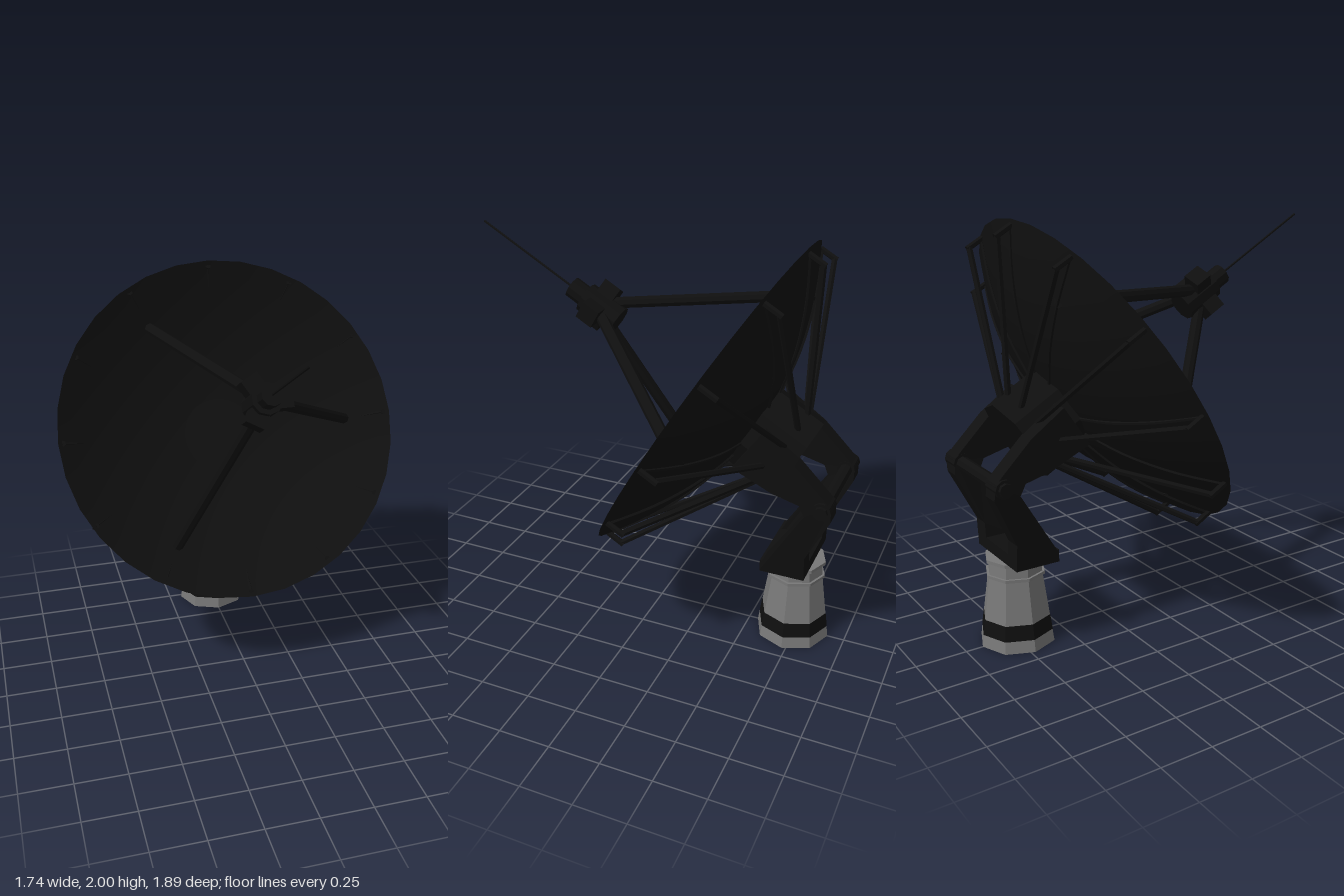
import * as THREE from 'three';

export function createModel() {
  const model = new THREE.Group();
  const paint = (name, color, flat) => {
    const m = new THREE.MeshStandardMaterial({ color });
    m.name = name;
    m.flatShading = flat;
    return m;
  };
  const dark = paint('charcoal', 0x0f0f0f, true);
  const grey = paint('concrete grey', 0x787878, true);
  const shell = dark.clone(); // same charcoal, smooth shaded
  shell.flatShading = false;

  const add = (parent, name, geometry, material = dark) => {
    const mesh = new THREE.Mesh(geometry, material);
    mesh.name = name;
    parent.add(mesh);
    return mesh;
  };
  // straight rod between two points
  const rod = (parent, name, a, b, radius, sides = 8) => {
    const mesh = add(parent, name, new THREE.CylinderGeometry(radius, radius, a.distanceTo(b), sides));
    mesh.position.copy(a).lerp(b, 0.5);
    mesh.quaternion.setFromUnitVectors(new THREE.Vector3(0, 1, 0), b.clone().sub(a).normalize());
    return mesh;
  };

  // Mast: stacked eight-sided rings [name, bottom y, top y, bottom r, top r, colour]
  const mast = new THREE.Group();
  mast.name = 'mast';
  mast.position.z = -0.73;
  model.add(mast);
  [
    ['mastFoot', 0, 0.06, 0.185, 0.177, grey],
    ['mastBand', 0.06, 0.135, 0.178, 0.167, dark],
    ['mastBody', 0.135, 0.345, 0.166, 0.136, grey],
    ['lowerCollar', 0.345, 0.36, 0.146, 0.146, grey],
    ['mastNeck', 0.36, 0.42, 0.134, 0.13, grey],
    ['upperCollar', 0.42, 0.437, 0.146, 0.146, grey],
  ].forEach(([name, y0, y1, r0, r1, mat]) => {
    add(mast, name, new THREE.CylinderGeometry(r1, r0, y1 - y0, 8), mat).position.y = (y0 + y1) / 2;
  });

  // Yoke: base block, two bent arms and the elbow shaft
  const yoke = new THREE.Group();
  yoke.name = 'yoke';
  model.add(yoke);
  add(yoke, 'yokeBase', new THREE.BoxGeometry(0.4, 0.06, 0.22)).position.set(0, 0.467, -0.71);
  const profile = new THREE.Shape([
    [-0.6, 0.44], [-0.82, 0.44], [-0.82, 0.57], [-0.94, 0.82], [-0.937, 0.89], [-0.905, 0.926],
    [-0.756, 1.074], [-0.59, 1.19], [-0.46, 1.0], [-0.656, 0.91], [-0.79, 0.875], [-0.815, 0.82], [-0.6, 0.48],
  ].map(([z, y]) => new THREE.Vector2(-z, y)));
  for (const side of [-1, 1]) {
    const g = new THREE.ExtrudeGeometry(profile, { depth: 0.09, bevelEnabled: false });
    g.translate(0, 0, -0.045).rotateY(Math.PI / 2);
    // lean the lower half inward towards the base
    const p = g.attributes.position;
    for (let i = 0; i < p.count; i++) {
      const lean = THREE.MathUtils.clamp((0.85 - p.getY(i)) / 0.37, 0, 1);
      p.setX(i, p.getX(i) + side * (0.215 - 0.06 * lean));
    }
    g.computeVertexNormals();
    add(yoke, 'yokeArm', g);
    const bearing = add(yoke, 'elbowBearing', new THREE.CylinderGeometry(0.045, 0.045, 0.105, 10));
    bearing.rotation.z = Math.PI / 2;
    bearing.position.set(side * 0.22, 0.872, -0.897);
  }
  rod(yoke, 'elbowShaft', new THREE.Vector3(-0.29, 0.872, -0.897), new THREE.Vector3(0.29, 0.872, -0.897), 0.032);

  // Reflector assembly: local y is the aiming axis, origin at the rim centre
  const dish = new THREE.Group();
  dish.name = 'dishAssembly';
  dish.position.set(0, 1.245, -0.255);
  dish.rotation.x = Math.PI / 3;
  model.add(dish);
  const polar = (deg, r, y) => {
    const t = THREE.MathUtils.degToRad(deg);
    return new THREE.Vector3(r * Math.cos(t), y, -r * Math.sin(t));
  };
  const bowl = (r, depth) => -depth * (1 - (r / 0.87) ** 2);
  const curve = (depth) => Array.from({ length: 13 }, (_, i) => {
    const r = 0.87 * i / 12;
    return new THREE.Vector2(r, bowl(r, depth));
  });
  add(dish, 'dishBack', new THREE.LatheGeometry(curve(0.28), 32), shell);
  add(dish, 'dishFront', new THREE.LatheGeometry(curve(0.26).reverse(), 32), shell);
  add(dish, 'hub', new THREE.CylinderGeometry(0.22, 0.22, 0.27, 8)).position.y = -0.382;

  // Back ribs and outrigger braces
  for (let deg = 0; deg < 360; deg += 30) {
    const line = [0.2, 0.42, 0.64, 0.85].map((r) => polar(deg, r, bowl(r, 0.28) - 0.004));
    add(dish, 'backRib', new THREE.TubeGeometry(new THREE.CatmullRomCurve3(line), 10, 0.008, 5));
    const rim = polar(deg, 0.845, -0.012);
    const knee = polar(deg, 0.845, -0.092);
    rod(dish, 'braceTip', rim, polar(deg, 0.845, -0.105), 0.015, 6);
    rod(dish, 'brace', knee, polar(deg, 0.19, -0.44), 0.015, 6);
  }

  // Feed: three legs, drum, side boxes, nose and spike
  for (const deg of [0, 120, 240]) {
    rod(dish, 'feedLeg', polar(deg, 0.655, -0.12), polar(deg, 0.06, 0.63), 0.029);
    const box = add(dish, 'feedBox', new THREE.BoxGeometry(0.1, 0.09, 0.09));
    box.position.copy(polar(deg, 0.077, 0.68));
    box.rotation.y = THREE.MathUtils.degToRad(deg);
  }
  add(dish, 'feedDrum', new THREE.CylinderGeometry(0.075, 0.075, 0.2, 10)).position.y = 0.66;
  add(dish, 'feedNose', new THREE.CylinderGeometry(0.052, 0.052, 0.1, 10)).position.y = 0.795;
  add(dish, 'spike', new THREE.CylinderGeometry(0.006, 0.006, 0.56, 6)).position.y = 1.11;

  return model;
}
